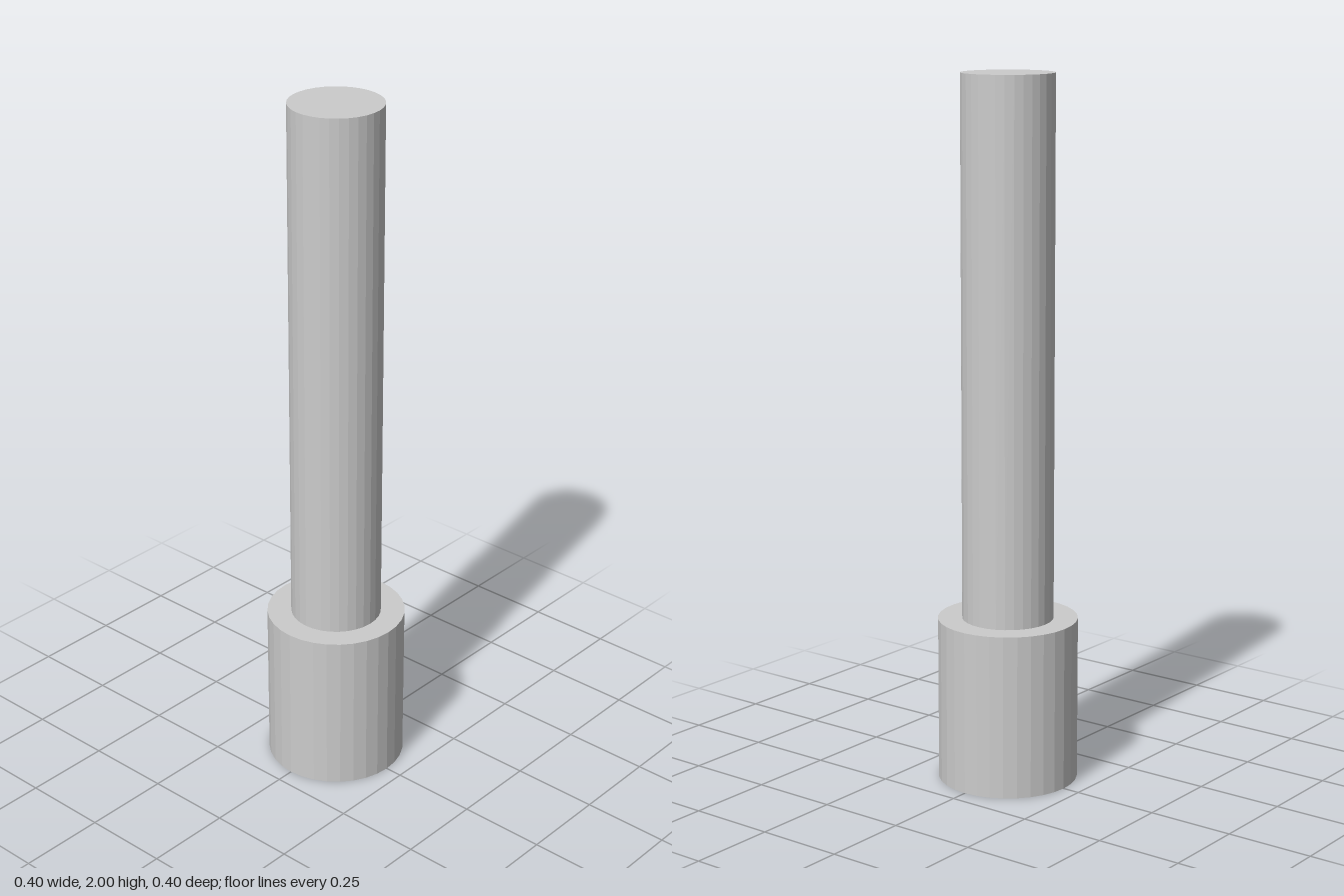
import * as THREE from 'three';

const SIDES = 32;
const HEAD_HEIGHT = 0.47;
const TOTAL_HEIGHT = 2;

export function createModel() {
  const group = new THREE.Group();
  const material = new THREE.MeshStandardMaterial({ color: 0xcccccc, flatShading: true });

  // Upright cylinder between two heights
  const addCylinder = (name, radius, bottom, top) => {
    const mesh = new THREE.Mesh(
      new THREE.CylinderGeometry(radius, radius, top - bottom, SIDES), material);
    mesh.name = name;
    mesh.position.y = (bottom + top) / 2;
    group.add(mesh);
  };

  // Wide head at the foot, slim shaft rising from it
  addCylinder('head', 0.199, 0, HEAD_HEIGHT);
  addCylinder('shaft', 0.13, HEAD_HEIGHT, TOTAL_HEIGHT);

  return group;
}
